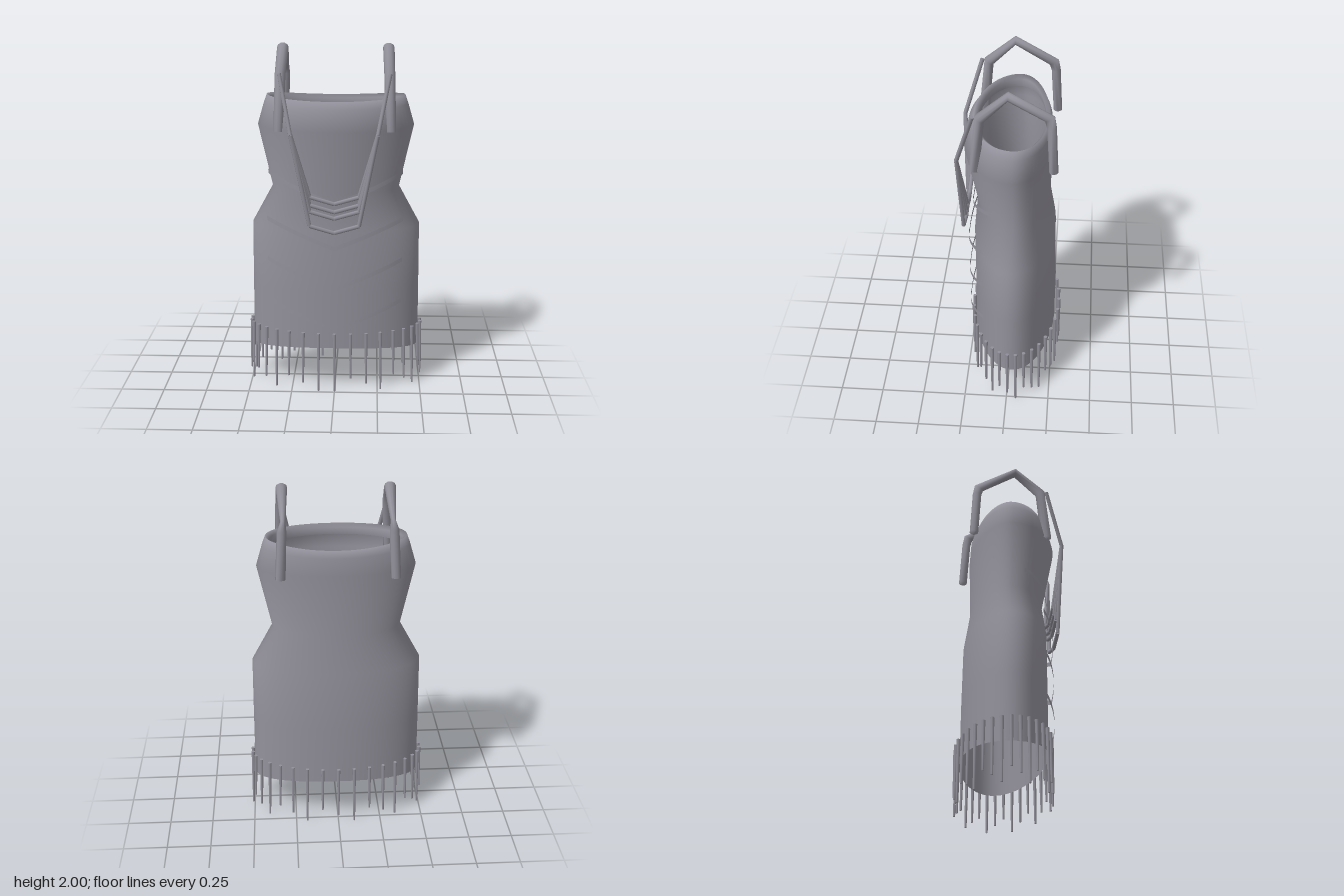
import * as THREE from 'three';

const fabric = new THREE.MeshStandardMaterial({ color: 0x92909a, side: THREE.DoubleSide });
fabric.name = 'grey fabric';

// Skin a list of closed rings (arrays of Vector3) into one smooth surface
function loft(rings, capped = false) {
  const n = rings[0].length;
  const points = rings.flat();
  const index = [];
  for (let i = 0; i < rings.length - 1; i++) {
    for (let j = 0; j < n; j++) {
      const a = i * n + j, b = i * n + (j + 1) % n;
      index.push(a, b, b + n, a, b + n, a + n);
    }
  }
  if (capped) {
    const last = (rings.length - 1) * n;
    for (let j = 1; j < n - 1; j++) {
      index.push(0, j + 1, j, last, last + j, last + j + 1);
    }
  }
  const geo = new THREE.BufferGeometry().setFromPoints(points);
  geo.setIndex(index);
  geo.computeVertexNormals();
  return geo;
}

function add(parent, name, geo) {
  const mesh = new THREE.Mesh(geo, fabric);
  mesh.name = name;
  parent.add(mesh);
  return mesh;
}

// Straight rod between two points, tapering from r0 to r1
function rod(a, b, r0, r1, sides = 6) {
  const dir = b.clone().sub(a);
  const geo = new THREE.CylinderGeometry(r1, r0, dir.length(), sides);
  geo.applyQuaternion(new THREE.Quaternion().setFromUnitVectors(
    new THREE.Vector3(0, 1, 0), dir.normalize()));
  const mid = a.clone().add(b).multiplyScalar(0.5);
  return geo.translate(mid.x, mid.y, mid.z);
}

const CENTRE_Z = -0.03;

// Dress shell: height at sides, half width, front z, back z, lift at front, lift at back
function dressGeometry() {
  const profile = [
    [0.22, 0.49, 0.212, -0.265, 0.04, 0.04],
    [0.60, 0.488, 0.212, -0.262, 0, 0],
    [0.96, 0.485, 0.212, -0.255, 0, 0],
    [1.18, 0.365, 0.19, -0.22, 0, 0],
    [1.54, 0.445, 0.262, -0.228, 0, 0],
    [1.66, 0.41, 0.235, -0.222, 0, -0.02],
    [1.71, 0.392, 0.205, -0.205, -0.01, -0.03],
    [1.69, 0.37, 0.18, -0.185, -0.01, -0.03],
    [1.64, 0.375, 0.185, -0.19, 0, -0.02],
  ];
  const n = 64;
  return loft(profile.map(([y, rx, zf, zb, liftF, liftB]) =>
    Array.from({ length: n }, (_, j) => {
      const a = j / n * Math.PI * 2, c = Math.cos(a);
      const front = c > 0;
      const z = CENTRE_Z + Math.abs(c) * ((front ? zf : zb) - CENTRE_Z);
      return new THREE.Vector3(Math.sin(a) * rx, y + c * c * (front ? liftF : liftB), z);
    })));
}

// Shoulder strap: x, y, z, half width, half thickness, tilt of the section
function strapGeometry(side) {
  const path = [
    [0.312, 1.53, 0.178, 0.027, 0.03, 0.1],
    [0.300, 1.84, 0.148, 0.03, 0.03, 0.55],
    [0.295, 1.975, 0, 0.032, 0.024, 1.57],
    [0.292, 1.85, -0.215, 0.014, 0.03, 2.6],
    [0.300, 1.80, -0.226, 0.026, 0.026, 3.05],
    [0.312, 1.535, -0.242, 0.028, 0.025, 3.1],
  ];
  const n = 10;
  return loft(path.map(([x, y, z, w, t, tilt]) =>
    Array.from({ length: n }, (_, j) => {
      const a = side * j / n * Math.PI * 2;
      const across = Math.cos(a) * w, out = -Math.sin(a) * t * side;
      return new THREE.Vector3(side * x + across,
        y + out * side * Math.sin(tilt), z + out * side * Math.cos(tilt));
    })), true);
}

// Flat V-shaped ribbon bowed around the front of the skirt
function chevronGeometry(yMid, rx, depth) {
  const geo = new THREE.PlaneGeometry(0.77, 0.026, 32, 1);
  const p = geo.attributes.position;
  for (let i = 0; i < p.count; i++) {
    const x = p.getX(i);
    p.setY(i, p.getY(i) + yMid + Math.abs(x) * 0.39);
    p.setZ(i, CENTRE_Z + depth * Math.sqrt(1 - (x / rx) ** 2));
  }
  geo.computeVertexNormals();
  return geo;
}

export function createModel() {
  const model = new THREE.Group();
  model.name = 'fringedDress';

  add(model, 'dressBody', dressGeometry());
  add(model, 'leftStrap', strapGeometry(1));
  add(model, 'rightStrap', strapGeometry(-1));

  // Chevron trims down the front
  const chevrons = new THREE.Group();
  chevrons.name = 'chevronTrims';
  model.add(chevrons);
  [0.39, 0.635, 0.875].forEach((y) => add(chevrons, 'skirtChevron', chevronGeometry(y, 0.49, 0.28)));
  add(chevrons, 'waistChevron', chevronGeometry(1.125, 0.4, 0.25));

  // Draped cords hanging from the straps
  const cords = new THREE.Group();
  cords.name = 'drapedCords';
  model.add(cords);
  const V = (x, y, z) => new THREE.Vector3(x, y, z);
  [[0.975, 0.268], [1.055, 0.258], [1.09, 0.25], [1.135, 0.244]].forEach(([dip, z]) => {
    for (const s of [1, -1]) {
      const pts = [V(s * 0.303, 1.85, 0.185), V(s * 0.238, 1.53, 0.283),
        V(s * 0.138, dip + 0.04, z), V(0, dip, z)];
      for (let i = 0; i < 3; i++) add(cords, 'cord', rod(pts[i], pts[i + 1], 0.012, 0.012));
    }
  });

  // Fringe around the hem
  const fringe = new THREE.Group();
  fringe.name = 'hemFringe';
  model.add(fringe);
  const count = 34, ends = [0, 0.08, 0.045];
  for (let i = 0; i < count; i++) {
    const a = i / count * Math.PI * 2;
    const at = (k, y) => V(Math.sin(a) * 0.503 * k, y, CENTRE_Z + Math.cos(a) * 0.26 * k);
    add(fringe, 'tassel', rod(at(1.015, ends[i % 3]), at(1, 0.355), 0.006, 0.011));
  }
  return model;
}
